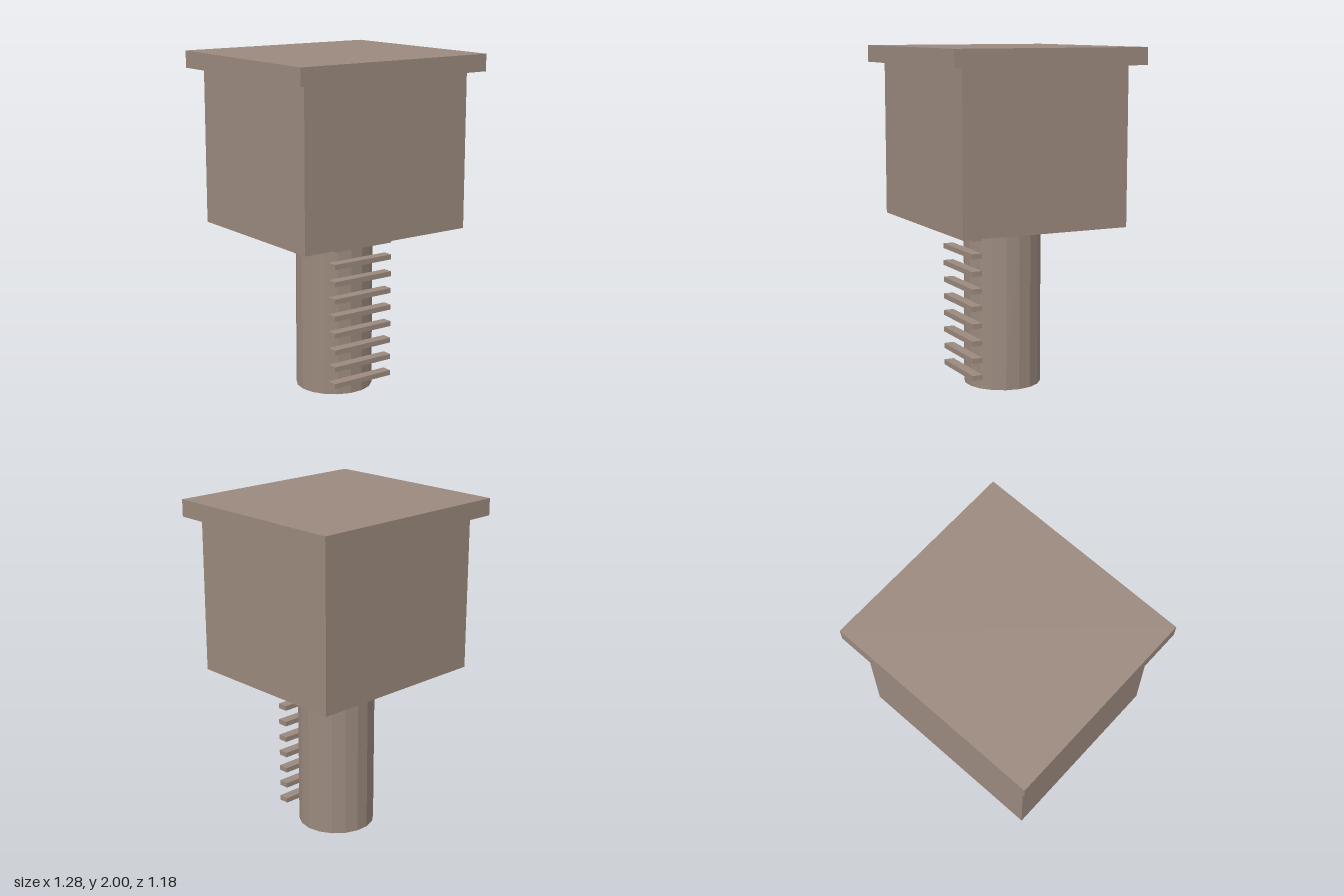
import * as THREE from 'three';

export function createModel() {
  const model = new THREE.Group();
  const clay = new THREE.MeshStandardMaterial({ color: 0x9a897d });
  clay.name = 'warm taupe';
  clay.flatShading = true;

  const add = (name, geometry, y, z = 0, parent = model) => {
    const mesh = new THREE.Mesh(geometry, clay);
    mesh.name = name;
    mesh.position.set(0, y, z);
    parent.add(mesh);
    return mesh;
  };

  // Round column with 18 flat sides, corners on the x axis
  add('column', new THREE.CylinderGeometry(0.229, 0.229, 0.98, 18, 1, false, Math.PI / 2), 0.49);

  // Square cabin and its overhanging roof slab
  add('cabin', new THREE.BoxGeometry(1.13, 0.92, 1.024), 1.44);
  add('roof', new THREE.BoxGeometry(1.28, 0.1, 1.18), 1.95);

  // Ladder rungs up the front of the column
  const ladder = new THREE.Group();
  ladder.name = 'ladder';
  model.add(ladder);
  const rung = new THREE.BoxGeometry(0.408, 0.03, 0.062);
  for (let i = 0; i < 9; i++) add('rung', rung, 0.095 + i * 0.1025, 0.259, ladder);

  return model;
}
